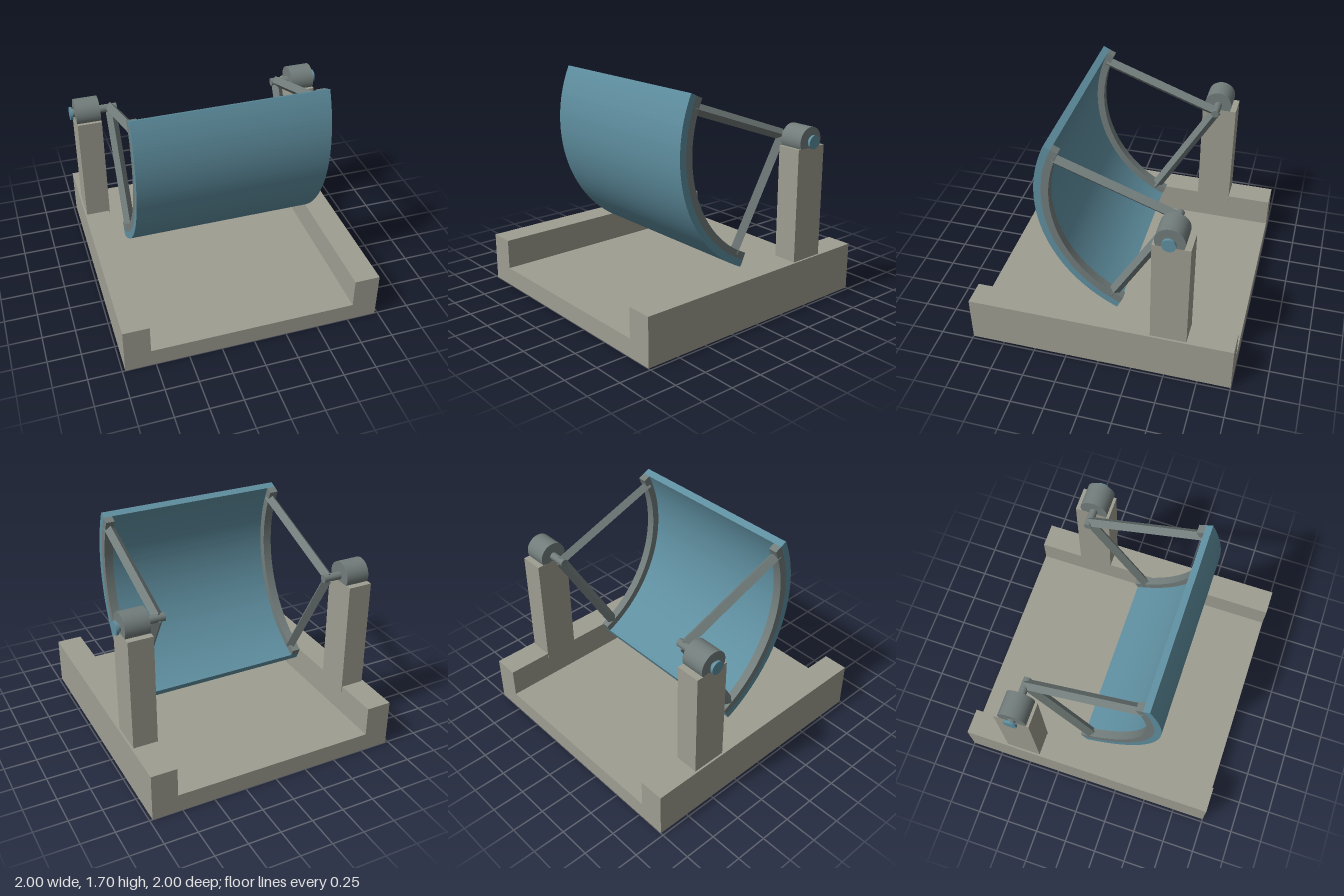
import * as THREE from 'three';

const PIVOT_Y = 1.27, PIVOT_Z = -0.51;
const deg = THREE.MathUtils.degToRad;

const concrete = new THREE.MeshStandardMaterial({ color: 0x9f9e92 });
const steel = new THREE.MeshStandardMaterial({ color: 0x727d7b });
const steelFlat = new THREE.MeshStandardMaterial({ color: 0x727d7b, flatShading: true });
const blue = new THREE.MeshStandardMaterial({ color: 0x5f8fa0 });
const blueFlat = new THREE.MeshStandardMaterial({ color: 0x5f8fa0, flatShading: true });

function add(parent, name, geometry, material, x = 0, y = 0, z = 0) {
  const mesh = new THREE.Mesh(geometry, material);
  mesh.name = name;
  mesh.position.set(x, y, z);
  parent.add(mesh);
  return mesh;
}

// Curved strip around the pivot axis, centred on x = 0
function arcStrip(inner, outer, width) {
  const a0 = deg(-65), a1 = deg(25);
  const shape = new THREE.Shape();
  shape.absarc(0, 0, outer, a0, a1, false);
  shape.absarc(0, 0, inner, a1, a0, true);
  shape.closePath();
  return new THREE.ExtrudeGeometry(shape, { depth: width, bevelEnabled: false, curveSegments: 28 })
    .translate(0, 0, -width / 2)
    .rotateY(-Math.PI / 2);
}

// Cylinder lying along x between two positions
function rod(parent, name, radius, x0, x1, material) {
  const geometry = new THREE.CylinderGeometry(radius, radius, Math.abs(x1 - x0), 32).rotateZ(Math.PI / 2);
  return add(parent, name, geometry, material, (x0 + x1) / 2, PIVOT_Y, PIVOT_Z);
}

export function createModel() {
  const model = new THREE.Group();
  model.name = 'radialGate';

  // Channel base with a wall along each side
  const w = 0.978, inside = 0.782, floorY = 0.14, wallY = 0.37;
  const profile = new THREE.Shape([
    [-w, 0], [w, 0], [w, wallY], [inside, wallY],
    [inside, floorY], [-inside, floorY], [-inside, wallY], [-w, wallY],
  ].map(([x, y]) => new THREE.Vector2(x, y)));
  const base = new THREE.ExtrudeGeometry(profile, { depth: 2, bevelEnabled: false }).translate(0, 0, -1);
  add(model, 'channelBase', base, concrete);

  // Curved gate plate
  add(model, 'gatePlate', arcStrip(0.97, 1.024, 1.44), blueFlat, 0, PIVOT_Y, PIVOT_Z);

  for (const side of [1, -1]) {
    const support = new THREE.Group();
    support.name = side > 0 ? 'leftSupport' : 'rightSupport';
    model.add(support);

    // Pier and bearing
    add(support, 'pier', new THREE.BoxGeometry(0.186, 0.905, 0.268), concrete, side * 0.87, 0.7725, -0.522);
    rod(support, 'bearing', 0.107, side * 0.778, side * 0.962, steel);
    rod(support, 'pivotPin', 0.03, side * 0.636, side * 0.985, steel);
    rod(support, 'pinCap', 0.05, side * 0.98, side * 1.0, blue);

    // Rib behind the plate edge
    add(support, 'edgeRib', arcStrip(0.915, 0.972, 0.066), steelFlat, side * 0.687, PIVOT_Y, PIVOT_Z);

    // Diamond-section arms from the pin to the rib
    for (const [name, angle] of [['upperArm', 20], ['lowerArm', -60]]) {
      const length = 0.945;
      const arm = new THREE.CylinderGeometry(0.042, 0.042, length, 4)
        .translate(0, length / 2, 0)
        .rotateX(Math.PI / 2 - deg(angle));
      add(support, name, arm, steelFlat, side * 0.682, PIVOT_Y, PIVOT_Z);
    }
  }
  return model;
}
